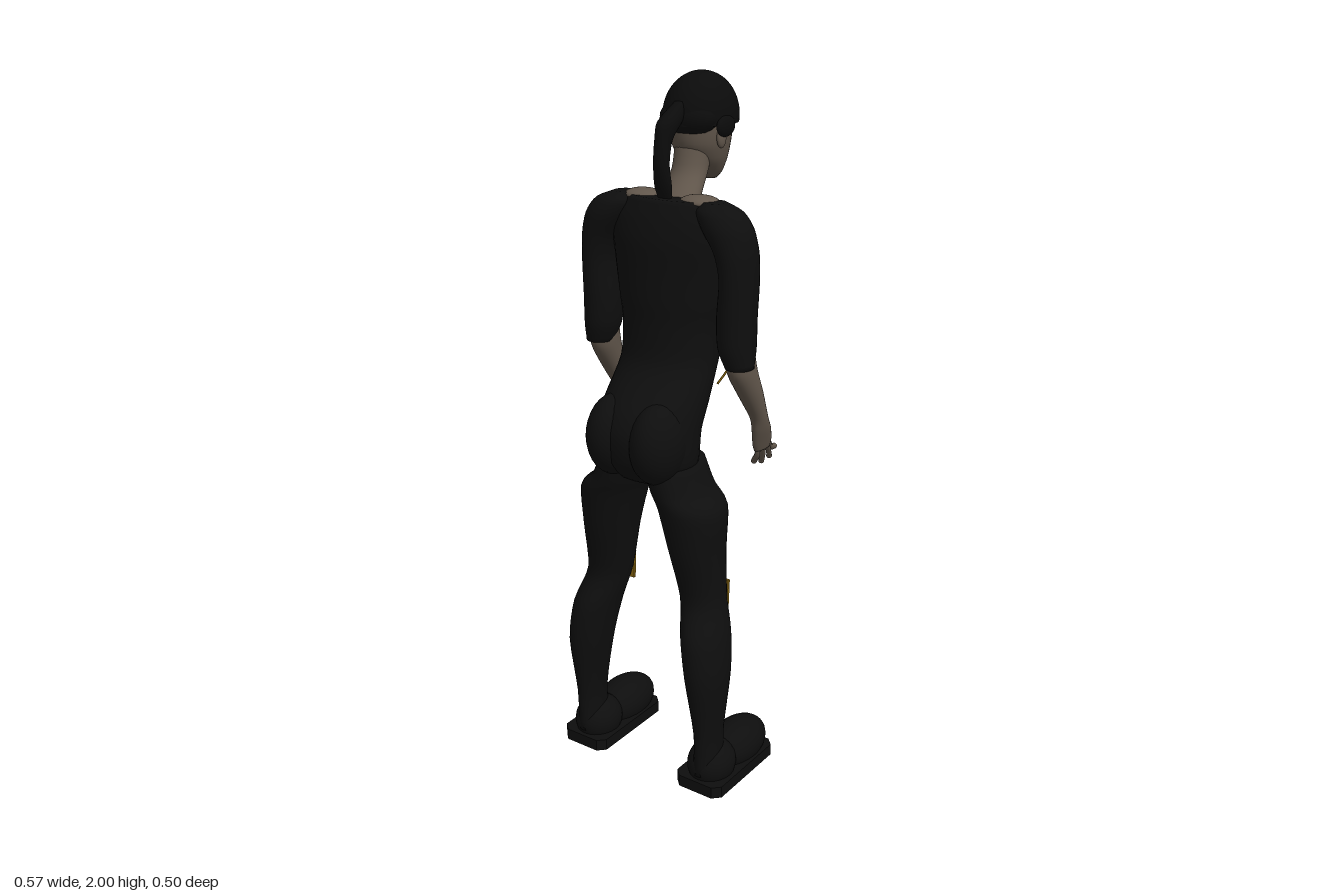
import * as THREE from 'three';

const mat = (name, color, side = THREE.FrontSide) => {
  const m = new THREE.MeshStandardMaterial({ color, side });
  m.name = name;
  return m;
};

export function createModel() {
  const suit = mat('black suit', 0x0e0e0e);
  const hair = mat('black hair', 0x0b0b0b, THREE.DoubleSide);
  const skin = mat('skin', 0x62574c);
  const gold = mat('gold trim', 0x80600f);
  const lip = mat('lips', 0x4c3a34);
  const eyeDark = mat('eyes', 0x15120f);
  const root = new THREE.Group();
  root.name = 'figure';

  const add = (name, geo, material, parent = root) => {
    const m = new THREE.Mesh(geo, material);
    m.name = name;
    parent.add(m);
    return m;
  };
  const ball = (name, material, p, r, parent) => {
    const m = add(name, new THREE.SphereGeometry(1, 24, 16), material, parent);
    m.position.set(...p);
    m.scale.set(...r);
    return m;
  };
  const box = (name, material, p, size, parent) => {
    const m = add(name, new THREE.BoxGeometry(...size), material, parent);
    m.position.set(...p);
    return m;
  };
  const tube = (name, material, pts, r, parent) => add(name, new THREE.TubeGeometry(
    new THREE.CatmullRomCurve3(pts.map(p => new THREE.Vector3(...p))), 16, r, 6), material, parent);

  // Closed skin over elliptical rings [y, cx, cz, rx, rz], listed bottom to top
  const loft = (rings, s = 1, segs = 28) => {
    const spline = f => new THREE.CatmullRomCurve3(rings.map(f), false, 'catmullrom', 0.4);
    const centre = spline(r => new THREE.Vector3(r[1] * s, r[0], r[2]));
    const radius = spline(r => new THREE.Vector3(r[3], r[4], 0));
    const rows = (rings.length - 1) * 4, pos = [], idx = [];
    for (let i = 0; i <= rows; i++) {
      const c = centre.getPoint(i / rows), r = radius.getPoint(i / rows);
      for (let j = 0; j < segs; j++) {
        const a = j / segs * Math.PI * 2;
        pos.push(c.x + r.x * Math.cos(a), c.y, c.z + r.y * Math.sin(a));
      }
    }
    for (let i = 0; i < rows; i++) for (let j = 0; j < segs; j++) {
      const k = (j + 1) % segs, a = i * segs + j, b = i * segs + k;
      idx.push(a, a + segs, b, b, a + segs, b + segs);
    }
    const first = rings[0], last = rings[rings.length - 1], n = pos.length / 3;
    pos.push(first[1] * s, first[0], first[2], last[1] * s, last[0], last[2]);
    for (let j = 0; j < segs; j++) {
      const k = (j + 1) % segs, t = rows * segs;
      idx.push(n, j, k, n + 1, t + k, t + j);
    }
    const g = new THREE.BufferGeometry();
    g.setAttribute('position', new THREE.Float32BufferAttribute(pos, 3));
    g.setIndex(idx);
    g.computeVertexNormals();
    return g;
  };
  // Ring of a centred part from its half width, back z and front z
  const span = ([y, rx, back, front]) => [y, 0, (back + front) / 2, rx, (back - front) / 2];

  // Torso, the figure looks towards -z
  const torso = [
    [0.94, 0.12, 0.17, -0.02], [1.0, 0.143, 0.225, -0.025], [1.08, 0.145, 0.235, -0.04],
    [1.15, 0.145, 0.205, -0.075], [1.25, 0.143, 0.115, -0.105], [1.35, 0.15, 0.1, -0.135],
    [1.42, 0.165, 0.1, -0.15], [1.5, 0.178, 0.095, -0.14], [1.58, 0.185, 0.09, -0.115],
    [1.64, 0.18, 0.075, -0.09], [1.69, 0.14, 0.055, -0.065]].map(span);
  add('torso', loft(torso, 1, 40), suit);
  const torsoFront = (x, y) => {
    const i = Math.max(1, torso.findIndex(r => r[0] >= y)), a = torso[i - 1], b = torso[i];
    const t = (y - a[0]) / (b[0] - a[0]), mix = k => a[k] + (b[k] - a[k]) * t;
    return mix(2) - mix(4) * Math.sqrt(Math.max(0, 1 - (x / mix(3)) ** 2));
  };

  // Neck and head
  add('neck', loft([[1.65, 0, -0.02, 0.075, 0.055], [1.69, 0, -0.045, 0.06, 0.048],
    [1.75, 0, -0.09, 0.05, 0.048], [1.83, 0, -0.11, 0.052, 0.05]]), skin);
  add('head', loft([[1.715, 0.022, -0.16, -0.2], [1.735, 0.042, -0.13, -0.212], [1.77, 0.062, -0.085, -0.222],
    [1.81, 0.075, -0.055, -0.228], [1.85, 0.082, -0.045, -0.232], [1.9, 0.084, -0.04, -0.238],
    [1.95, 0.06, -0.07, -0.2]].map(span)), skin);
  ball('nose', skin, [0, 1.812, -0.232], [0.012, 0.016, 0.02]);
  ball('noseBridge', skin, [0, 1.835, -0.228], [0.008, 0.025, 0.012]);
  ball('mouth', lip, [0, 1.772, -0.219], [0.022, 0.007, 0.009]);

  // Hair cap with fringe, and ponytail
  const cap = add('hairCap', new THREE.SphereGeometry(1, 32, 16, 0, Math.PI * 2, 0, Math.PI * 0.55), hair);
  cap.position.set(0, 1.885, -0.14);
  cap.scale.set(0.097, 0.115, 0.114);
  ball('hairBack', hair, [0, 1.885, -0.085], [0.085, 0.05, 0.06]);
  add('ponytail', loft([[1.675, 0, 0.022, 0.018, 0.006], [1.72, 0, 0.032, 0.026, 0.015],
    [1.78, 0, 0.04, 0.022, 0.02], [1.84, 0, 0.03, 0.022, 0.027], [1.885, 0, 0.0, 0.026, 0.045],
    [1.93, 0, -0.05, 0.015, 0.02]]), hair);

  for (const s of [1, -1]) {
    const side = new THREE.Group();
    side.name = s > 0 ? 'leftSide' : 'rightSide';
    root.add(side);

    // Face details
    ball('eye', eyeDark, [s * 0.033, 1.84, -0.222], [0.014, 0.006, 0.006], side);
    ball('eyebrow', hair, [s * 0.034, 1.859, -0.222], [0.018, 0.004, 0.008], side);
    ball('ear', skin, [s * 0.082, 1.835, -0.115], [0.01, 0.028, 0.018], side);
    ball('hairLock', hair, [s * 0.092, 1.865, -0.12], [0.013, 0.028, 0.04], side);
    ball('bareShoulder', skin, [s * 0.09, 1.685, -0.005], [0.056, 0.018, 0.045], side);

    // Bust and seat
    ball('bust', suit, [s * 0.072, 1.44, -0.1], [0.07, 0.075, 0.066], side);
    ball('buttock', suit, [s * 0.072, 1.06, 0.155], [0.073, 0.115, 0.095], side);

    // Arm
    add('sleeve', loft([[1.265, 0.232, 0.012, 0.038, 0.042], [1.32, 0.222, 0.01, 0.048, 0.06],
      [1.4, 0.22, 0.01, 0.05, 0.063], [1.5, 0.224, 0.008, 0.047, 0.067], [1.57, 0.215, 0.01, 0.055, 0.068],
      [1.63, 0.188, 0.012, 0.07, 0.066], [1.67, 0.163, 0.01, 0.065, 0.055], [1.692, 0.145, 0.005, 0.03, 0.03]], s), suit, side);
    add('forearm', loft([[0.985, 0.21, -0.147, 0.013, 0.036], [1.01, 0.215, -0.138, 0.017, 0.042],
      [1.055, 0.226, -0.115, 0.021, 0.037], [1.1, 0.232, -0.09, 0.024, 0.029], [1.18, 0.231, -0.045, 0.033, 0.041],
      [1.25, 0.228, -0.008, 0.037, 0.05], [1.32, 0.224, 0.005, 0.038, 0.045]], s), skin, side);
    const fingers = [[-0.115, 0.188, 0.942, -0.142], [-0.137, 0.19, 0.932, -0.178],
      [-0.158, 0.195, 0.938, -0.212], [-0.172, 0.203, 0.965, -0.224]];
    for (const [z, x, y, tipZ] of fingers) {
      tube('finger', skin, [[s * 0.213, 1.005, z], [s * 0.207, 0.972, z * 0.5 + tipZ * 0.5], [s * x, y, tipZ]], 0.0085, side);
      ball('fingertip', skin, [s * x, y, tipZ], [0.0085, 0.0085, 0.0085], side);
    }
    tube('thumb', skin, [[s * 0.222, 1.07, -0.125], [s * 0.195, 1.055, -0.165], [s * 0.172, 1.04, -0.2]], 0.0105, side);
    ball('thumbTip', skin, [s * 0.172, 1.04, -0.2], [0.0105, 0.0105, 0.0105], side);

    // Leg with flared thigh guard
    add('leg', loft([[0.07, 0.21, 0.105, 0.036, 0.058], [0.2, 0.212, 0.108, 0.035, 0.058],
      [0.38, 0.207, 0.11, 0.058, 0.08], [0.5, 0.19, 0.096, 0.064, 0.086], [0.6, 0.164, 0.07, 0.064, 0.07],
      [0.75, 0.148, 0.08, 0.078, 0.088], [0.87, 0.133, 0.082, 0.094, 0.103], [0.92, 0.1, 0.082, 0.078, 0.107],
      [0.99, 0.075, 0.085, 0.068, 0.108]], s), suit, side);
    const knee = box('kneePad', gold, [s * 0.165, 0.585, -0.002], [0.07, 0.085, 0.009], side);
    knee.rotation.x = -0.05;

    // Boot: rounded toe and heel on an octagonal sole
    ball('bootToe', suit, [s * 0.208, 0.08, -0.045], [0.072, 0.07, 0.12], side);
    ball('bootHeel', suit, [s * 0.208, 0.082, 0.085], [0.068, 0.07, 0.078], side);
    const outline = [[0.055, 0.17], [0.077, 0.148], [0.077, -0.118], [0.055, -0.14],
      [-0.055, -0.14], [-0.077, -0.118], [-0.077, 0.148], [-0.055, 0.17]];
    const shape = new THREE.Shape(outline.map(([x, z]) => new THREE.Vector2(x, -z)));
    const sole = add('sole', new THREE.ExtrudeGeometry(shape, { depth: 0.035, bevelEnabled: false }), suit, side);
    sole.rotation.x = -Math.PI / 2;
    sole.position.set(s * 0.208, 0.022, 0);
    box('tread', suit, [s * 0.208, 0.012, 0.0], [0.11, 0.024, 0.25], side);

    // Corset seams, following the torso
    for (const [top, low] of [[0.03, 0.022], [0.075, 0.055], [0.122, 0.1]]) {
      const pts = [];
      for (let i = 0; i <= 6; i++) {
        const y = 1.39 - i * 0.055, x = top + (low - top) * i / 6;
        pts.push([s * x, y, torsoFront(x, y) - 0.002]);
      }
      tube('corsetSeam', gold, pts, 0.0035, side);
    }
    // Chest pouch, its gold rod and the loose side strap
    const pouch = box('chestPouch', suit, [s * 0.115, 1.395, -0.165], [0.065, 0.09, 0.03], side);
    pouch.rotation.x = 0.08;
    tube('pouchRod', gold, [[s * 0.08, 1.425, -0.168], [s * 0.115, 1.43, -0.185], [s * 0.152, 1.435, -0.195]], 0.003, side);
    tube('pouchStrap', suit, [[s * 0.1, 1.52, -0.165], [s * 0.105, 1.46, -0.175], [s * 0.11, 1.36, -0.182]], 0.005, side);
    tube('sideStrap', gold, [[s * 0.145, 1.38, -0.09], [s * 0.167, 1.31, -0.085], [s * 0.15, 1.23, -0.06], [s * 0.135, 1.19, -0.03]], 0.003, side);
  }
  return root;
}
